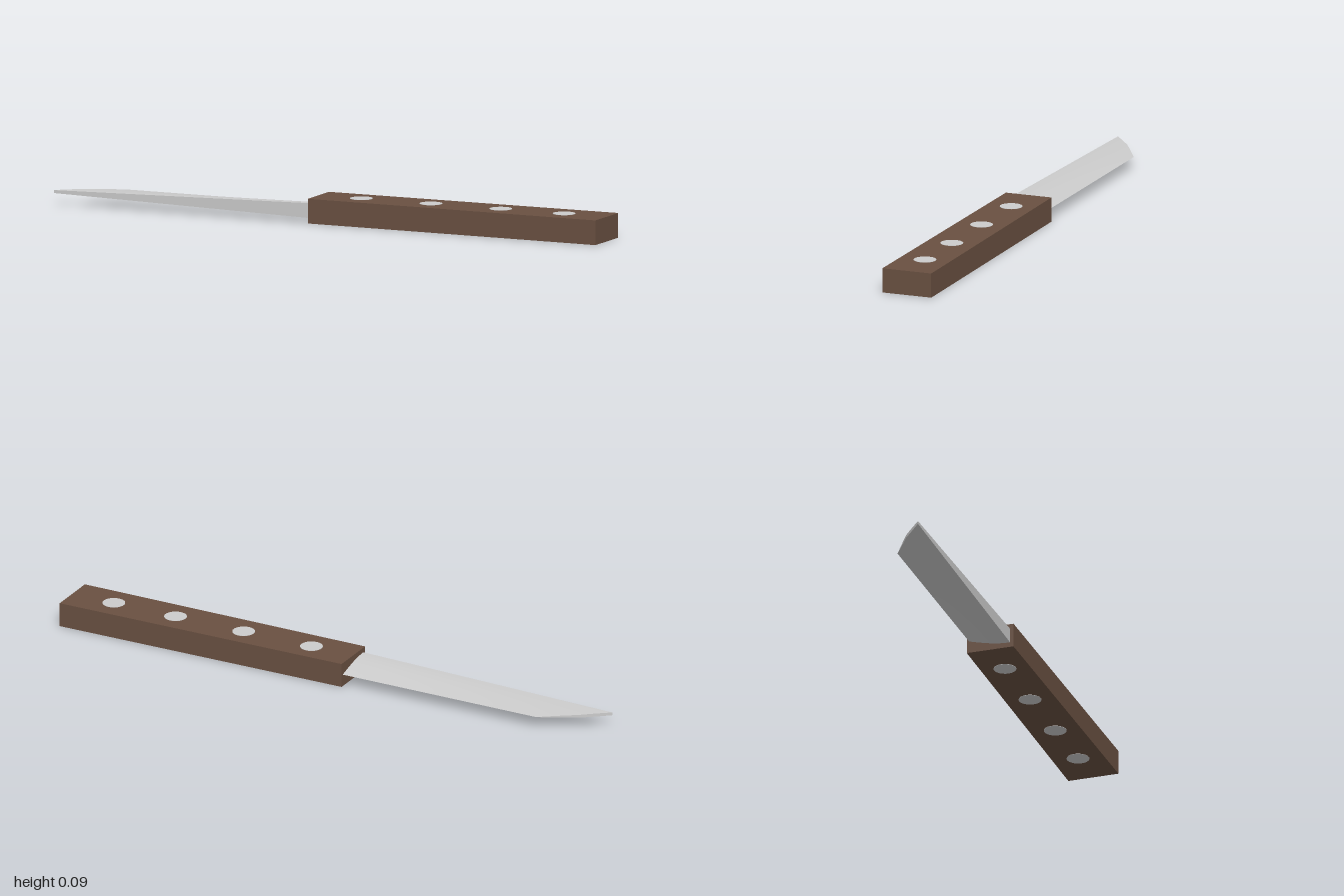
import * as THREE from 'three';
import { toCreasedNormals } from 'three/addons/utils/BufferGeometryUtils.js';

const steel = new THREE.MeshStandardMaterial({ color: 0xcccccc });
const wood = new THREE.MeshStandardMaterial({ color: 0x695041 });
const MID = 0.0425; // height of the knife's centre plane

// Blade: convex wedge, thick at the spine (+z), sharp at the edge (-z), thinning to the tip
function bladeGeometry() {
  const rows = 12, cols = 8, halfWidth = 0.072, root = -0.04;
  const pos = [];
  const point = (i, j, side) => {
    const t = i / rows;
    const z = (2 * t - 1) * halfWidth;
    const end = t < 0.5 ? -0.79 - 0.24 * t : -0.91 - 0.18 * (t - 0.5);
    const x = THREE.MathUtils.lerp(root, end, j / cols);
    const half = THREE.MathUtils.mapLinear(x, -0.06, -1, 0.025, 0.005);
    return [x, MID + side * half * Math.sin(t * Math.PI / 2), z];
  };
  const quad = (a, b, c, d) => pos.push(...a, ...b, ...c, ...a, ...c, ...d);

  for (let i = 0; i < rows; i++) {
    for (let j = 0; j < cols; j++) {
      quad(point(i, j, 1), point(i, j + 1, 1), point(i + 1, j + 1, 1), point(i + 1, j, 1));
      quad(point(i, j, -1), point(i + 1, j, -1), point(i + 1, j + 1, -1), point(i, j + 1, -1));
    }
    // tip and root ends
    quad(point(i, cols, -1), point(i + 1, cols, -1), point(i + 1, cols, 1), point(i, cols, 1));
    quad(point(i, 0, -1), point(i, 0, 1), point(i + 1, 0, 1), point(i + 1, 0, -1));
  }
  // flat spine
  for (let j = 0; j < cols; j++) {
    quad(point(rows, j + 1, -1), point(rows, j, -1), point(rows, j, 1), point(rows, j + 1, 1));
  }
  const geometry = new THREE.BufferGeometry();
  geometry.setAttribute('position', new THREE.Float32BufferAttribute(pos, 3));
  return toCreasedNormals(geometry, Math.PI / 6);
}

// Handle: slab that widens slightly toward the butt
function handleGeometry() {
  const outline = new THREE.Shape([
    new THREE.Vector2(-0.06, -0.084),
    new THREE.Vector2(1, -0.088),
    new THREE.Vector2(1, 0.088),
    new THREE.Vector2(-0.06, 0.08),
  ]);
  return new THREE.ExtrudeGeometry(outline, { depth: 0.083, bevelEnabled: false })
    .rotateX(-Math.PI / 2)
    .translate(0, 0.001, 0);
}

export function createModel() {
  const model = new THREE.Group();
  model.name = 'knife';
  const add = (name, geometry, material) => {
    const mesh = new THREE.Mesh(geometry, material);
    mesh.name = name;
    model.add(mesh);
    return mesh;
  };

  add('blade', bladeGeometry(), steel);
  add('handle', handleGeometry(), wood);

  // Rivets pass right through the handle and stand barely proud on both faces
  const rivet = new THREE.CylinderGeometry(0.038, 0.038, 0.085, 32);
  [0.097, 0.353, 0.61, 0.843].forEach((x, i) => {
    add('rivet' + (i + 1), rivet, steel).position.set(x, MID, 0);
  });
  return model;
}
